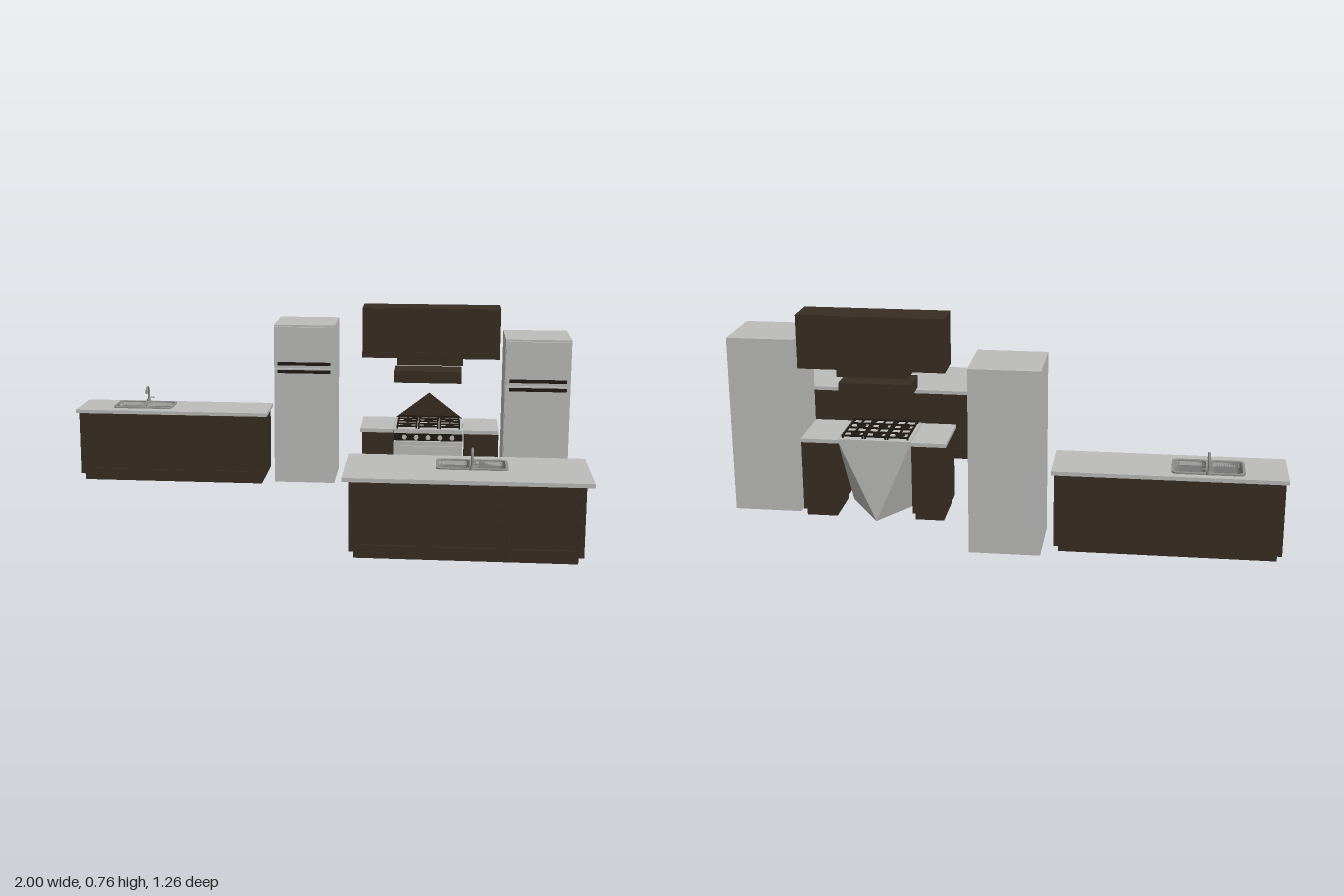
import * as THREE from 'three';

const mat = (name, color, side = THREE.FrontSide) => {
  const m = new THREE.MeshStandardMaterial({ color, side });
  m.name = name;
  return m;
};

export function createModel() {
  const root = new THREE.Group();
  root.name = 'kitchen';
  const steel = mat('light grey', 0xbcbdba);
  const wood = mat('dark brown wood', 0x382d22);
  const black = mat('dark trim', 0x211a14);
  const sinkGrey = mat('sink steel', 0x8f908e, THREE.DoubleSide);

  const group = (name, parent = root) => {
    const g = new THREE.Group();
    g.name = name;
    parent.add(g);
    return g;
  };
  const add = (g, name, geo, m) => {
    const mesh = new THREE.Mesh(geo, m);
    mesh.name = name;
    g.add(mesh);
    return mesh;
  };
  // Box given by its limits on each axis
  const box = (g, name, m, x0, x1, y0, y1, z0, z1) =>
    add(g, name, new THREE.BoxGeometry(x1 - x0, y1 - y0, z1 - z0), m)
      .position.set((x0 + x1) / 2, (y0 + y1) / 2, (z0 + z1) / 2);
  // Rectangle outline with optional rounded corners
  const rect = (P, x0, x1, y0, y1, r = 0) => {
    const s = new P();
    if (!r) {
      s.moveTo(x0, y0).lineTo(x1, y0).lineTo(x1, y1).lineTo(x0, y1).closePath();
      return s;
    }
    s.absarc(x1 - r, y0 + r, r, -Math.PI / 2, 0);
    s.absarc(x1 - r, y1 - r, r, 0, Math.PI / 2);
    s.absarc(x0 + r, y1 - r, r, Math.PI / 2, Math.PI);
    s.absarc(x0 + r, y0 + r, r, Math.PI, Math.PI * 1.5);
    s.closePath();
    return s;
  };
  // Horizontal slab with openings, each [x0, x1, z0, z1, radius]
  const slab = (g, name, m, [x0, x1, z0, z1, r], y0, y1, holes) => {
    const s = rect(THREE.Shape, x0, x1, -z1, -z0, r);
    holes.forEach(([a, b, c, d, hr]) => s.holes.push(rect(THREE.Path, a, b, -d, -c, hr)));
    const geo = new THREE.ExtrudeGeometry(s, { depth: y1 - y0, bevelEnabled: false, curveSegments: 4 });
    add(g, name, geo.rotateX(-Math.PI / 2), m).position.y = y0;
  };
  // Row of framed doors on a face at z, dir is the way they face
  const doors = (g, n, x0, x1, y0, y1, z, dir) => {
    const w = (x1 - x0) / n;
    for (let i = 0; i < n; i++) {
      const a = x0 + i * w + 0.003, b = x0 + (i + 1) * w - 0.003, f = 0.02;
      const s = rect(THREE.Shape, a, b, y0, y1);
      s.holes.push(rect(THREE.Path, a + f, b - f, y0 + f, y1 - f));
      const geo = new THREE.ExtrudeGeometry(s, { depth: 0.006, bevelEnabled: false });
      add(g, 'doorFrame', geo, wood).position.z = dir > 0 ? z : z - 0.006;
    }
  };

  // Double sink with gooseneck tap, dir is the way the spout points
  const basins = (cx, cz) => [-1, 1].map(s => {
    const c = cx + s * 0.061;
    return [c - 0.053, c + 0.053, cz - 0.058, cz + 0.058, 0.018];
  });
  const sink = (cx, cz, dir) => {
    const g = group('sink');
    const holes = basins(cx, cz);
    slab(g, 'sinkRim', sinkGrey, [cx - 0.123, cx + 0.123, cz - 0.07, cz + 0.07, 0.02], 0.309, 0.314, holes);
    holes.forEach(h => {
      const [a, b, c, d, r] = h, t = 0.003;
      slab(g, 'basinWall', sinkGrey, [a - t, b + t, c - t, d + t, r + t], 0.245, 0.311, [h]);
      slab(g, 'basinFloor', sinkGrey, [a, b, c, d, r], 0.243, 0.247, []);
      add(g, 'drain', new THREE.CylinderGeometry(0.014, 0.014, 0.004, 12), black)
        .position.set((a + b) / 2, 0.249, (c + d) / 2);
    });
    const zb = cz - dir * 0.068;
    const pts = [[0, 0.31], [0, 0.35], [0.006, 0.37], [0.022, 0.378], [0.038, 0.37], [0.044, 0.352]];
    const path = new THREE.CatmullRomCurve3(pts.map(([z, y]) => new THREE.Vector3(cx, y, zb + dir * z)));
    add(g, 'tapSpout', new THREE.TubeGeometry(path, 20, 0.0045, 8), sinkGrey);
    add(g, 'tapBase', new THREE.CylinderGeometry(0.007, 0.01, 0.014, 12), sinkGrey).position.set(cx, 0.318, zb);
    box(g, 'tapLever', sinkGrey, cx + 0.004, cx + 0.022, 0.328, 0.332, zb - 0.003, zb + 0.003);
  };

  // Base cabinet: hollow body, recessed plinth and worktop with sink openings
  const cabinet = (g, [x0, x1, z0, z1], plinth, top, holes) => {
    slab(g, 'cabinetBody', wood, [x0, x1, z0, z1, 0], 0.036, 0.295,
      holes.length ? [[x0 + 0.01, x1 - 0.01, z0 + 0.01, z1 - 0.01, 0]] : []);
    if (holes.length) box(g, 'cabinetFloor', wood, x0 + 0.01, x1 - 0.01, 0.036, 0.046, z0 + 0.01, z1 - 0.01);
    box(g, 'plinth', wood, plinth[0], plinth[1], 0.008, 0.036, plinth[2], plinth[3]);
    slab(g, 'worktop', steel, top, 0.295, 0.309, holes);
  };

  // Wall counter
  const wall = group('wallCounter');
  cabinet(wall, [-0.99, -0.22, -0.578, -0.382], [-0.975, -0.235, -0.555, -0.395],
    [-1, -0.21, -0.585, -0.368, 0], basins(-0.735, -0.487));
  doors(wall, 3, -0.99, -0.22, 0.042, 0.292, -0.382, 1);
  sink(-0.735, -0.487, 1);

  // Island
  const island = group('island');
  cabinet(island, [0.19, 0.98, 0.304, 0.57], [0.205, 0.963, 0.325, 0.55],
    [0.17, 1, 0.283, 0.63, 0], basins(0.603, 0.415));
  doors(island, 3, 0.19, 0.98, 0.042, 0.292, 0.57, 1);
  doors(island, 3, 0.19, 0.98, 0.042, 0.292, 0.304, -1);
  sink(0.603, 0.415, -1);

  // Two-door fridges
  const fridge = (x0, z0, zf) => {
    const g = group('fridge');
    const x1 = x0 + 0.245;
    box(g, 'fridgeBody', steel, x0, x1, 0.02, 0.67, z0, zf - 0.012);
    [[0.035, 0.494], [0.5, 0.663]].forEach(([a, b]) =>
      box(g, 'fridgeDoor', steel, x0 + 0.002, x1 - 0.002, a, b, zf - 0.012, zf));
    [0.484, 0.516].forEach(y => {
      box(g, 'fridgeHandle', black, x0 + 0.016, x1 - 0.016, y - 0.006, y + 0.006, zf + 0.006, zf + 0.015);
      [x0 + 0.03, x1 - 0.04].forEach(x =>
        box(g, 'handlePost', black, x, x + 0.01, y - 0.004, y + 0.004, zf, zf + 0.008));
    });
  };
  fridge(-0.18, -0.63, -0.375);
  fridge(0.73, -0.337, -0.077);

  // Cabinets either side of the cooker
  [[0.185, 0.313], [0.58, 0.715]].forEach(([a, b]) => {
    const g = group('sideCabinet');
    cabinet(g, [a + 0.006, b, -0.35, -0.146], [a + 0.014, b - 0.008, -0.335, -0.16], [a, b, -0.355, -0.13, 0], []);
    doors(g, 1, a + 0.006, b, 0.042, 0.292, -0.146, 1);
  });

  // Cooker: front, hob, and tapering shell behind
  const cooker = group('cooker');
  const L = 0.315, R = 0.578, C = (L + R) / 2, B = -0.35, F = -0.145;
  box(cooker, 'ovenDoor', steel, L, R, 0.035, 0.262, F, -0.128);
  box(cooker, 'controlPanel', black, L, R, 0.265, 0.294, F, -0.13);
  box(cooker, 'kickPlate', wood, L + 0.005, R - 0.005, 0, 0.033, F - 0.004, -0.138);
  box(cooker, 'ovenHandle', steel, L + 0.025, R - 0.025, 0.238, 0.247, -0.12, -0.112);
  [L + 0.03, R - 0.038].forEach(x => box(cooker, 'handlePost', steel, x, x + 0.008, 0.239, 0.246, -0.128, -0.118));
  for (let i = 0; i < 5; i++) {
    const k = add(cooker, 'knob', new THREE.CylinderGeometry(0.009, 0.009, 0.01, 12), steel);
    k.rotation.x = Math.PI / 2;
    k.position.set(L + 0.04 + i * 0.0457, 0.279, -0.126);
  }
  box(cooker, 'hob', steel, L, R, 0.294, 0.31, B, -0.128);
  const tris = (name, pts, m) => {
    const geo = new THREE.BufferGeometry();
    geo.setAttribute('position', new THREE.Float32BufferAttribute(pts.flat(), 3));
    geo.computeVertexNormals();
    add(cooker, name, geo, m);
  };
  const tl = [L, 0.3, B], tr = [R, 0.3, B], tip = [C, 0, B], fl = [L, 0, F], fr = [R, 0, F];
  tris('cookerShell', [tr, tip, tl, tl, tip, fl, tr, fr, tip, fl, tip, fr,
    tl, fl, [L, 0.3, F], tr, [R, 0.3, F], fr], steel);
  tris('splashback', [[L, 0.31, B], [R, 0.31, B], [C, 0.412, B]], wood);

  // Hob grates and burners
  for (let i = 0; i < 3; i++) {
    const a = L + 0.01 + i * 0.082, b = a + 0.079;
    slab(cooker, 'grateFrame', black, [a, b, -0.335, -0.14, 0], 0.316, 0.322,
      [[a + 0.006, b - 0.006, -0.329, -0.241, 0], [a + 0.006, b - 0.006, -0.235, -0.146, 0]]);
    [-0.285, -0.19].forEach(z => {
      const c = (a + b) / 2;
      box(cooker, 'grateBar', black, a, b, 0.316, 0.322, z - 0.003, z + 0.003);
      box(cooker, 'grateBar', black, c - 0.003, c + 0.003, 0.316, 0.322, z - 0.044, z + 0.044);
      add(cooker, 'burner', new THREE.CylinderGeometry(0.016, 0.018, 0.007, 14), black).position.set(c, 0.313, z);
    });
    [a, b - 0.006].forEach(x => [-0.335, -0.146].forEach(z =>
      box(cooker, 'grateFoot', black, x, x + 0.006, 0.31, 0.316, z, z + 0.006)));
  }

  // Upper cabinet
  const upper = group('upperCabinet');
  box(upper, 'upperBody', wood, 0.185, 0.715, 0.57, 0.765, -0.352, -0.224);
  doors(upper, 3, 0.187, 0.713, 0.573, 0.762, -0.224, 1);

  // Extractor hood
  const hood = group('hood');
  box(hood, 'hoodMount', wood, 0.32, 0.575, 0.542, 0.57, -0.345, -0.23);
  slab(hood, 'hoodCanopy', wood, [0.31, 0.57, -0.345, -0.215, 0], 0.475, 0.512, [[0.37, 0.51, -0.32, -0.245, 0]]);
  box(hood, 'hoodTop', wood, 0.31, 0.57, 0.512, 0.52, -0.345, -0.215);
  box(hood, 'hoodFilter', steel, 0.385, 0.49, 0.468, 0.485, -0.31, -0.255);
  return root;
}
